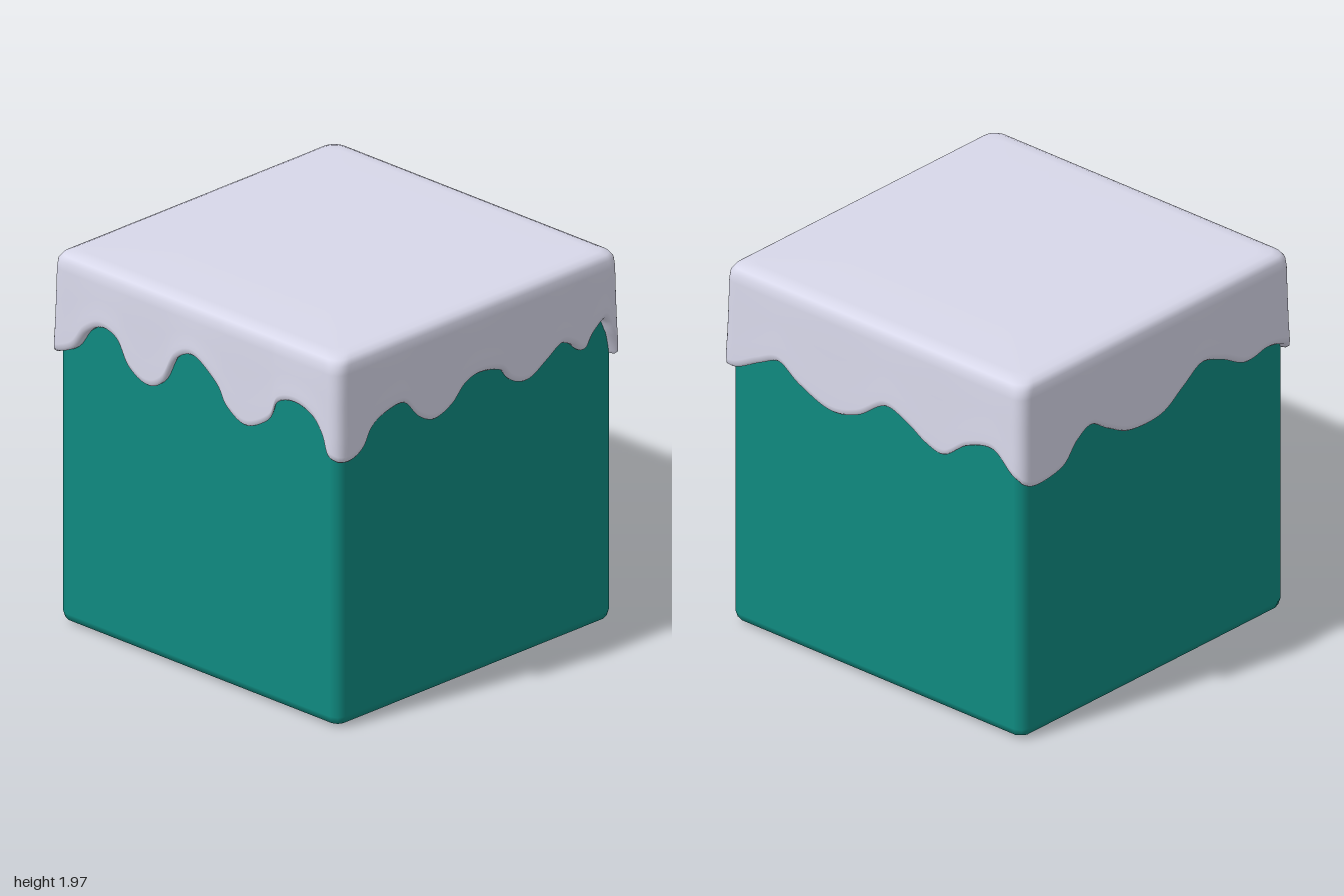
import * as THREE from 'three';
import { RoundedBoxGeometry } from 'three/addons/geometries/RoundedBoxGeometry.js';

// Drip edge of each side: [position along the side, height], left to right as seen facing it
const FRONT = [[-1, 1.43], [-0.85, 1.49], [-0.76, 1.6], [-0.65, 1.66], [-0.53, 1.63], [-0.45, 1.51], [-0.33, 1.45],
  [-0.22, 1.5], [-0.13, 1.65], [0, 1.7], [0.16, 1.6], [0.23, 1.5], [0.36, 1.44], [0.52, 1.52], [0.58, 1.63],
  [0.7, 1.665], [0.82, 1.63], [0.89, 1.55], [0.93, 1.45], [1, 1.42]];
const RIGHT = [[-1, 1.42], [-0.9, 1.42], [-0.82, 1.46], [-0.76, 1.55], [-0.66, 1.6], [-0.53, 1.61], [-0.43, 1.51],
  [-0.32, 1.46], [-0.2, 1.5], [-0.11, 1.58], [0, 1.61], [0.15, 1.58], [0.23, 1.5], [0.34, 1.47], [0.46, 1.53],
  [0.57, 1.59], [0.66, 1.56], [0.73, 1.51], [0.79, 1.58], [0.88, 1.63], [0.94, 1.53], [1, 1.41]];
const BACK = [[-1, 1.41], [-0.9, 1.43], [-0.76, 1.5], [-0.62, 1.55], [-0.48, 1.47], [-0.28, 1.4], [-0.1, 1.44],
  [0.08, 1.55], [0.23, 1.51], [0.36, 1.44], [0.48, 1.42], [0.63, 1.52], [0.8, 1.56], [0.92, 1.47], [1, 1.42]];
const LEFT = [[-1, 1.42], [-0.88, 1.39], [-0.7, 1.42], [-0.6, 1.52], [-0.49, 1.57], [-0.36, 1.5], [-0.2, 1.43],
  [0.02, 1.43], [0.18, 1.52], [0.32, 1.6], [0.48, 1.56], [0.65, 1.48], [0.8, 1.5], [0.92, 1.48], [1, 1.43]];

// Point on a rounded square of half-size R, from a point on the unit square
function roundedSquare(x, z, R) {
  const r = 0.07, m = R - r;
  const cx = THREE.MathUtils.clamp(x * R, -m, m), cz = THREE.MathUtils.clamp(z * R, -m, m);
  const dx = x * R - cx, dz = z * R - cz, len = Math.hypot(dx, dz);
  return [cx + dx / len * r, cz + dz / len * r];
}

function capGeometry() {
  // Walk round the four sides, sampling the drip edge
  const rim = [];
  [FRONT, RIGHT, BACK, LEFT].forEach((side, k) => {
    const curve = new THREE.SplineCurve(side.map(p => new THREE.Vector2(...p)));
    curve.getPoints(110).slice(0, -1).forEach(({ x: s, y: hem }) => {
      let x = s, z = 1;
      for (let i = 0; i < k; i++) [x, z] = [z, -x];
      rim.push({ x, z, hem });
    });
  });

  // Cross-section from the flat top, over the soft shoulder, down to the curled lip
  const rows = [
    [0.5, () => 1.97], [0.88, () => 1.968], [0.93, () => 1.963], [0.96, () => 1.95], [0.976, () => 1.925],
    [0.981, () => 1.88],
    [0.984, h => THREE.MathUtils.lerp(1.88, h, 0.35)],
    [0.988, h => THREE.MathUtils.lerp(1.88, h, 0.7)],
    [0.992, h => h + 0.035], [0.99, h => h + 0.01], [0.978, h => h], [0.962, h => h + 0.004], [0.945, h => h + 0.02]
  ];
  const positions = [0, 1.97, 0], index = [], n = rim.length;
  rows.forEach(([R, height], i) => rim.forEach(({ x, z, hem }, j) => {
    const [px, pz] = roundedSquare(x, z, R);
    positions.push(px, height(hem), pz);
    const next = (j + 1) % n, a = 1 + i * n + j, b = 1 + i * n + next;
    if (i === 0) index.push(0, a, b);
    if (i < rows.length - 1) index.push(a, a + n, b, b, a + n, b + n);
  }));
  const geometry = new THREE.BufferGeometry();
  geometry.setAttribute('position', new THREE.Float32BufferAttribute(positions, 3));
  geometry.setIndex(index);
  geometry.computeVertexNormals();
  return geometry;
}

export function createModel() {
  const model = new THREE.Group();
  model.name = 'snowCappedBlock';

  // Block with bevelled edges
  const block = new THREE.Mesh(
    new RoundedBoxGeometry(1.91, 1.93, 1.91, 1, 0.055),
    new THREE.MeshStandardMaterial({ color: 0x0f8a80 })
  );
  block.name = 'block';
  block.position.y = 0.965;

  // Snow layer dripping over the sides
  const cap = new THREE.Mesh(
    capGeometry(),
    new THREE.MeshStandardMaterial({ color: 0xd8d8ea, side: THREE.DoubleSide })
  );
  cap.name = 'snowCap';

  model.add(block, cap);
  return model;
}
